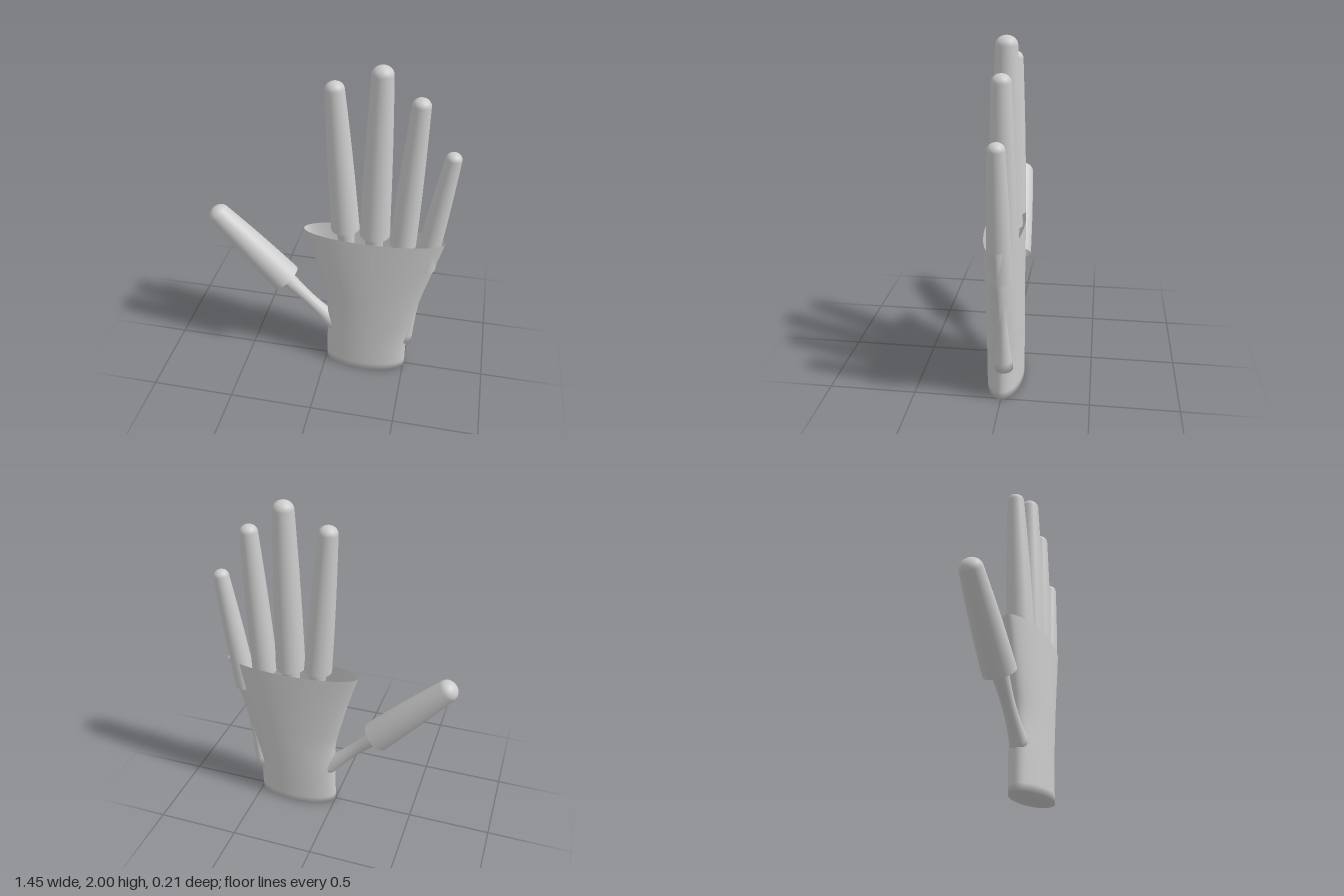
import * as THREE from 'three';

const grey = new THREE.MeshStandardMaterial({ color: 0xcccccc, side: THREE.DoubleSide });
grey.name = 'light grey';
const UP = new THREE.Vector3(0, 1, 0);

// Turned part standing at one point and pointing towards another
function turned(name, from, to, profile) {
  const a = new THREE.Vector3(...from), d = new THREE.Vector3(...to).sub(a);
  const points = profile(d.length()).map(([r, h]) => new THREE.Vector2(r, h));
  const mesh = new THREE.Mesh(new THREE.LatheGeometry(points, 32), grey);
  mesh.name = name;
  mesh.position.copy(a);
  mesh.quaternion.setFromUnitVectors(UP, d.normalize());
  return mesh;
}

// Tapered sleeve, open at the base, with a domed tip
const fingerProfile = (base, tip) => (length) => {
  const pts = [];
  const shoulder = length - tip * 0.85;
  for (let i = 0; i <= 6; i++) {
    const t = i / 6;
    pts.push([base + (tip - base) * t + 0.004 * Math.sin(Math.PI * t), shoulder * t]);
  }
  for (let i = 1; i <= 8; i++) {
    const a = (i / 8) * Math.PI / 2;
    pts.push([Math.max(0, tip * Math.cos(a)), shoulder + tip * 0.85 * Math.sin(a)]);
  }
  return pts;
};

// Hourglass rod with flared, closed ends
const boneProfile = (start, waist, end) => (length) => {
  const pts = [[0, 0], [start, 0]];
  for (let i = 1; i <= 12; i++) {
    const t = i / 12, s = Math.abs(2 * t - 1) ** 1.7;
    pts.push([waist + ((t < 0.5 ? start : end) - waist) * s, length * t]);
  }
  return [...pts, [0, length]];
};

// Flared elliptical shell with an open top and closed base
function createPalm() {
  const left = new THREE.CatmullRomCurve3(
    [[0, 0], [0.003, 0.22], [0.0, 0.44], [-0.035, 0.6], [-0.09, 0.81], [-0.14, 0.97]]
      .map(([x, y]) => new THREE.Vector3(x, y, 0)));
  const right = new THREE.CatmullRomCurve3(
    [[0.507, 0], [0.512, 0.22], [0.552, 0.44], [0.59, 0.6], [0.648, 0.81], [0.69, 0.97]]
      .map(([x, y]) => new THREE.Vector3(x, y, 0)));
  const rows = 24;
  const profile = [new THREE.Vector2(0, 0)];
  for (let i = 0; i <= rows; i++) profile.push(new THREE.Vector2(1, i / rows));
  const geo = new THREE.LatheGeometry(profile, 64);
  const p = geo.attributes.position;
  for (let i = 0; i < p.count; i++) {
    const t = p.getY(i), l = left.getPoint(t), r = right.getPoint(t);
    p.setXYZ(i, (l.x + r.x) / 2 + p.getX(i) * (r.x - l.x) / 2, l.y, p.getZ(i) * 0.106);
  }
  geo.computeVertexNormals();
  const mesh = new THREE.Mesh(geo, grey);
  mesh.name = 'palm';
  return mesh;
}

export function createModel() {
  const hand = new THREE.Group();
  hand.name = 'hand';
  hand.add(createPalm());

  // name, finger base, finger tip, base and tip radius, bone foot, bone radii
  const digits = [
    ['thumb', [-0.26, 0.575, 0.005], [-0.7, 1.035, 0.005], 0.096, 0.066, [0.06, 0.255, 0], [0.056, 0.038, 0.055]],
    ['indexFinger', [0.105, 0.99, -0.012], [0.032, 1.893, -0.015], 0.083, 0.054, [0.17, 0.22, -0.01], [0.052, 0.038, 0.062]],
    ['middleFinger', [0.28, 0.975, -0.008], [0.287, 2.0, -0.01], 0.088, 0.059, [0.27, 0.2, -0.01], [0.052, 0.04, 0.065]],
    ['ringFinger', [0.446, 0.93, -0.01], [0.497, 1.842, -0.01], 0.077, 0.051, [0.38, 0.2, -0.01], [0.052, 0.036, 0.058]],
    ['littleFinger', [0.58, 0.785, -0.008], [0.691, 1.548, -0.01], 0.066, 0.045, [0.49, 0.2, -0.017], [0.052, 0.031, 0.045]],
  ];
  for (const [name, base, tip, r0, r1, foot, radii] of digits) {
    // The bone runs a little way into the sleeve
    const top = base.map((v, i) => v + (tip[i] - v) * 0.08);
    hand.add(turned(name, base, tip, fingerProfile(r0, r1)));
    hand.add(turned(name + 'Bone', foot, top, boneProfile(...radii)));
  }
  return hand;
}
